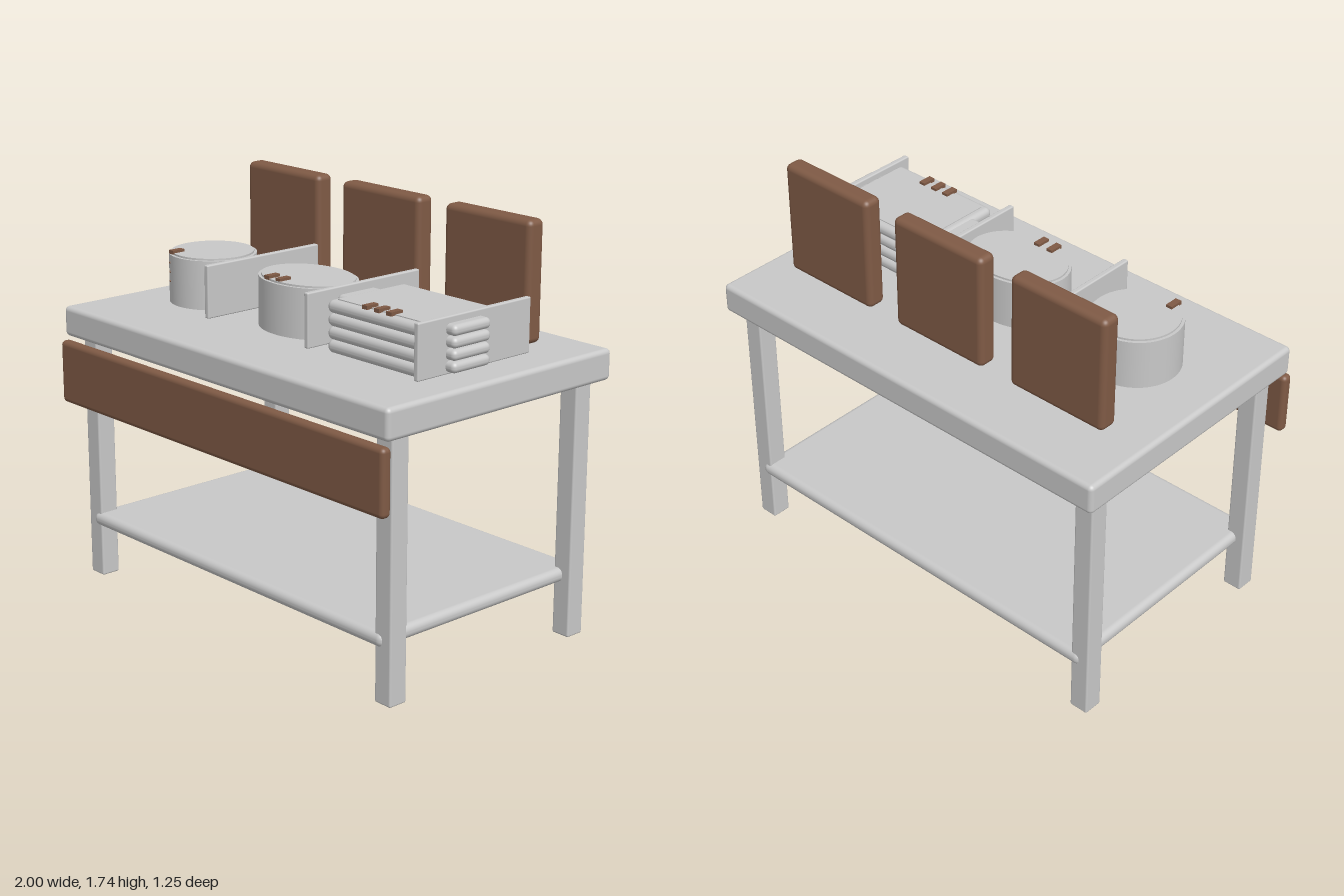
import * as THREE from 'three';
import { RoundedBoxGeometry } from 'three/addons/geometries/RoundedBoxGeometry.js';

export function createModel() {
  const group = new THREE.Group();
  const steel = new THREE.MeshStandardMaterial({ color: 0xc8c8c8 });
  steel.name = 'light grey steel';
  const wood = new THREE.MeshStandardMaterial({ color: 0x7f5a45 });
  wood.name = 'brown wood';

  function add(name, geometry, material) {
    const mesh = new THREE.Mesh(geometry, material);
    mesh.name = name;
    group.add(mesh);
    return mesh;
  }

  // Box given by its lower and upper limits; r rounds the edges
  function box(name, [x0, x1], [y0, y1], [z0, z1], r, material) {
    const w = x1 - x0, h = y1 - y0, d = z1 - z0;
    const geometry = r ? new RoundedBoxGeometry(w, h, d, 4, r) : new THREE.BoxGeometry(w, h, d);
    add(name, geometry, material).position.set((x0 + x1) / 2, (y0 + y1) / 2, (z0 + z1) / 2);
  }

  // Table
  box('tableTop', [-1, 1], [1.08, 1.21], [-0.62, 0.6], 0.02, steel);
  box('shelf', [-0.915, 0.915], [0.23, 0.29], [-0.565, 0.545], 0.028, steel);
  box('frontPanel', [-1, 1], [0.79, 1.063], [0.575, 0.625], 0.02, wood);
  for (const x of [-0.912, 0.912]) {
    for (const z of [-0.512, 0.49]) {
      box('leg', [x - 0.043, x + 0.043], [0, 1.09], [z - 0.043, z + 0.043], 0.008, steel);
    }
  }

  // Upright boards and the thin dividers in front of them
  for (const x of [-0.612, -0.002, 0.608]) {
    box('backBoard', [x - 0.233, x + 0.233], [1.245, 1.742], [-0.382, -0.296], 0.025, wood);
  }
  for (const x of [-0.349, 0.267, 0.878]) {
    box('divider', [x - 0.012, x + 0.012], [1.236, 1.46], [-0.26, 0.345], 0.006, steel);
  }

  // Round and oval pots with slightly inset lids
  function pot(name, x, z, rx, rz) {
    const body = add(name, new THREE.CylinderGeometry(1, 1, 0.21, 64), steel);
    body.scale.set(rx, 1, rz);
    body.position.set(x, 1.33, z);
    const lid = add(name + 'Lid', new THREE.CylinderGeometry(1, 1, 0.01, 64), steel);
    lid.scale.set(rx - 0.012, 1, rz - 0.012);
    lid.position.set(x, 1.438, z);
  }
  pot('roundPot', -0.613, 0.093, 0.187, 0.187);
  pot('ovalPot', -0.002, 0.093, 0.233, 0.178);

  // Stacked trays with end handles
  for (let i = 0; i < 4; i++) {
    const y = 1.254 + i * 0.053;
    box('tray', [0.337, 0.873], [y - 0.026, y + 0.026], [-0.112, 0.302], 0.024, steel);
    const hy = 1.267 + i * 0.048;
    box('trayHandles', [0.283, 0.935], [hy - 0.022, hy + 0.022], [0, 0.2], 0.02, steel);
  }
  box('trayCore', [0.37, 0.85], [1.225, 1.443], [-0.083, 0.27], 0, steel);

  // Small wooden tabs marking each dish
  const tabs = [[-0.68, 0.235], [-0.07, 0.227], [-0.002, 0.227], [0.545, 0.262], [0.61, 0.262], [0.677, 0.262]];
  for (const [x, z] of tabs) {
    box('tab', [x - 0.014, x + 0.014], [1.438, 1.454], [z - 0.03, z + 0.03], 0, wood);
  }

  // Dots down the front of the round pot
  for (const y of [1.32, 1.36, 1.4]) {
    const dot = add('dot', new THREE.SphereGeometry(0.005, 10, 8), wood);
    dot.position.set(-0.69, y, 0.264);
  }

  return group;
}
